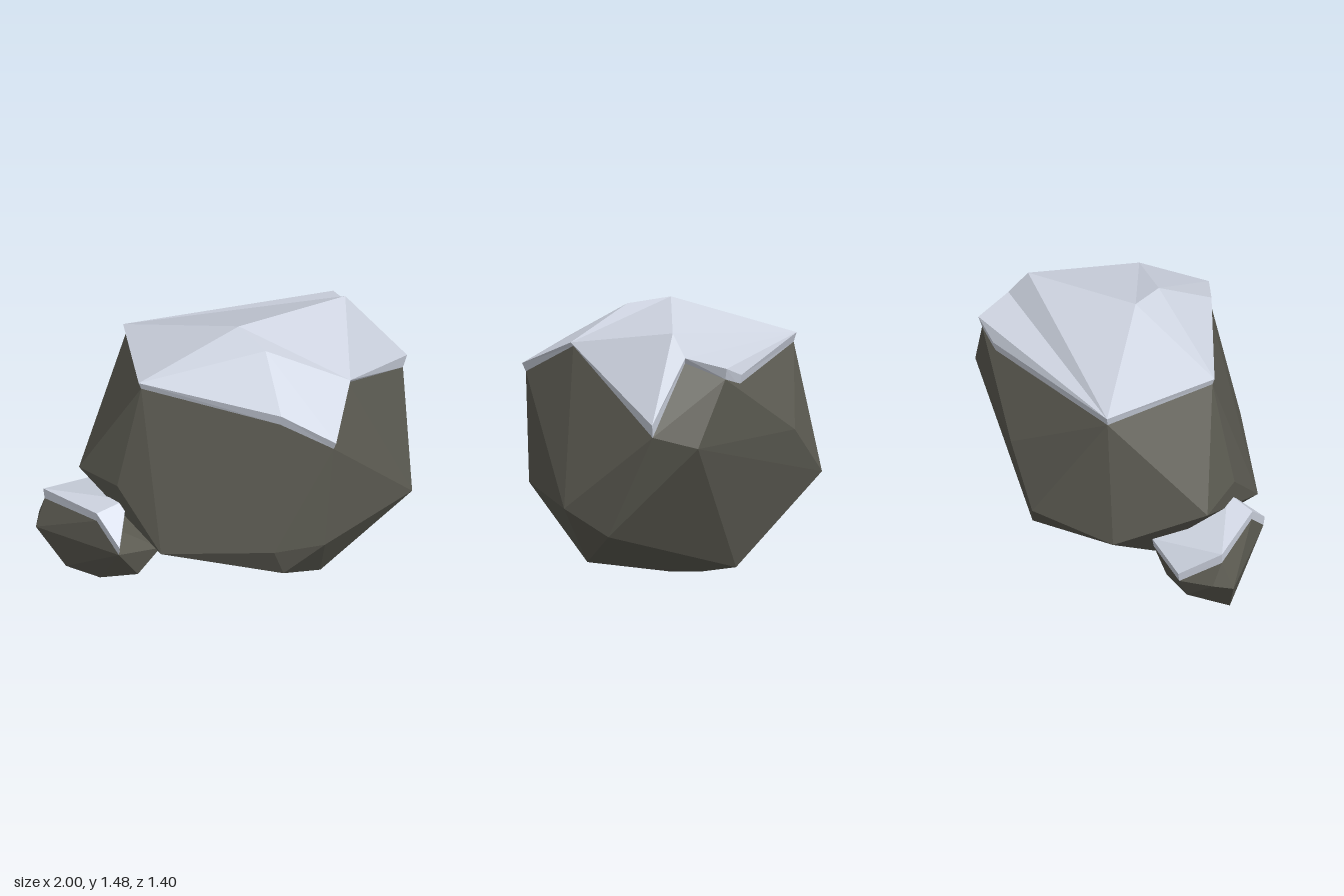
import * as THREE from 'three';
import { ConvexGeometry } from 'three/addons/geometries/ConvexGeometry.js';

const stone = new THREE.MeshStandardMaterial({ color: 0x5c5b52, flatShading: true });
stone.name = 'darkStone';
const snow = new THREE.MeshStandardMaterial({ color: 0xd0d6e3, flatShading: true, side: THREE.DoubleSide });
snow.name = 'paleSnow';

const vec = (p) => new THREE.Vector3(p[0], p[1], p[2]);

// Faceted boulder: the hull of its corner points
function boulder(name, points) {
  const mesh = new THREE.Mesh(new ConvexGeometry(points.map(vec)), stone);
  mesh.name = name;
  return mesh;
}

// Where the snow rim meets the stone: dropped by p[3] and pulled inwards
function rimFoot(p, c) {
  return [c[0] + (p[0] - c[0]) * 0.975, p[1] - p[3], c[2] + (p[2] - c[2]) * 0.975];
}

// Snow sheet: top facets plus a band around the rim, all facing away from c
function snowCap(name, pts, faces, rim, c) {
  const centre = vec(c);
  const out = [];
  const tri = (a, b, d) => {
    const [A, B, D] = [a, b, d].map(vec);
    const n = B.clone().sub(A).cross(D.clone().sub(A));
    const mid = A.clone().add(B).add(D).divideScalar(3).sub(centre);
    const order = n.dot(mid) >= 0 ? [A, B, D] : [A, D, B];
    order.forEach((v) => out.push(v.x, v.y, v.z));
  };
  for (const f of faces) tri(...f.split(' ').map((k) => pts[k]));
  rim.forEach((k, i) => {
    const a = pts[k];
    const b = pts[rim[(i + 1) % rim.length]];
    tri(a, b, rimFoot(b, c));
    tri(a, rimFoot(b, c), rimFoot(a, c));
  });
  const g = new THREE.BufferGeometry();
  g.setAttribute('position', new THREE.Float32BufferAttribute(out, 3));
  g.computeVertexNormals();
  const mesh = new THREE.Mesh(g, snow);
  mesh.name = name;
  return mesh;
}

export function createModel() {
  const group = new THREE.Group();
  group.name = 'snowyRocks';

  // Large boulder snow: summit points, then rim points with their thickness
  const big = {
    top: [0.08, 1.475, 0.035], ridge: [0.22, 1.44, 0.22], crest: [0.65, 1.4, -0.36],
    front: [0.59, 1.13, 0.645, 0.045], notch: [0.67, 1.29, 0.28, 0.02],
    right: [0.98, 0.96, -0.45, 0.07], back1: [0.68, 1.28, -0.46, 0.03],
    back2: [0.59, 1.23, -0.665, 0.06], back3: [0.42, 1.17, -0.645, 0.07],
    left1: [-0.53, 1.23, -0.36, 0.05], left2: [-0.455, 1.28, 0.28, 0.04],
    mid: [0.3, 1.24, 0.55, 0.06],
  };
  const bigRim = ['front', 'notch', 'right', 'back1', 'back2', 'back3', 'left1', 'left2', 'mid'];
  const bigCentre = [0.08, 0.7, 0];
  group.add(snowCap('largeSnowCap', big, [
    'top left2 left1', 'top left1 crest', 'top crest notch', 'top notch ridge',
    'top ridge left2', 'ridge notch front', 'ridge front mid', 'ridge mid left2',
    'notch crest right', 'crest back1 right', 'crest left1 back1',
    'back1 left1 back2', 'back2 left1 back3',
  ], bigRim, bigCentre));

  // Large boulder
  group.add(boulder('largeBoulder', [
    ...bigRim.filter((k) => k !== 'back3').map((k) => rimFoot(big[k], bigCentre)),
    [1, 0.46, 0.1], [0.98, 0.33, -0.17], [0.51, 0.08, 0.28], [0.13, 0, 0],
    [0.31, 0.3, 0.64], [0.26, 0.47, 0.7], [0.53, 0.48, 0.64], [-0.34, 0.38, 0.57],
    [-0.77, 0.64, 0.12], [-0.57, 0.67, 0.35], [-0.62, 0.47, -0.36], [-0.45, 0.24, -0.05],
    [0, 0.82, -0.705], [-0.28, 0.55, -0.69], [0.78, 0.82, -0.61],
    [0.24, 0.09, -0.49], [0.14, 0.02, -0.19],
  ]));

  // Small rock snow
  const small = {
    left: [-0.96, 0.51, 0.13, 0.06], front: [-0.68, 0.535, 0.41, 0.05],
    tip: [-0.56, 0.39, 0.525, 0.05], inner: [-0.52, 0.57, 0.33, 0.05],
    back: [-0.6, 0.44, -0.13, 0.05], backLeft: [-0.86, 0.37, -0.08, 0.05],
  };
  const smallRim = ['left', 'front', 'tip', 'inner', 'back', 'backLeft'];
  const smallCentre = [-0.68, 0.25, 0.2];
  group.add(snowCap('smallSnowCap', small, [
    'front inner tip', 'left front inner', 'left inner back', 'left back backLeft',
  ], smallRim, smallCentre));

  // Small rock
  group.add(boulder('smallRock', [
    ...smallRim.filter((k) => k !== 'inner').map((k) => rimFoot(small[k], smallCentre)),
    [-1, 0.3, 0.18], [-0.98, 0.33, 0.07], [-0.34, 0.24, 0.3], [-0.46, 0.12, 0.37],
    [-0.66, 0.02, 0.25], [-0.84, 0.075, 0.22], [-0.83, 0.2, -0.02], [-0.55, 0.15, -0.03],
  ]));
  return group;
}
